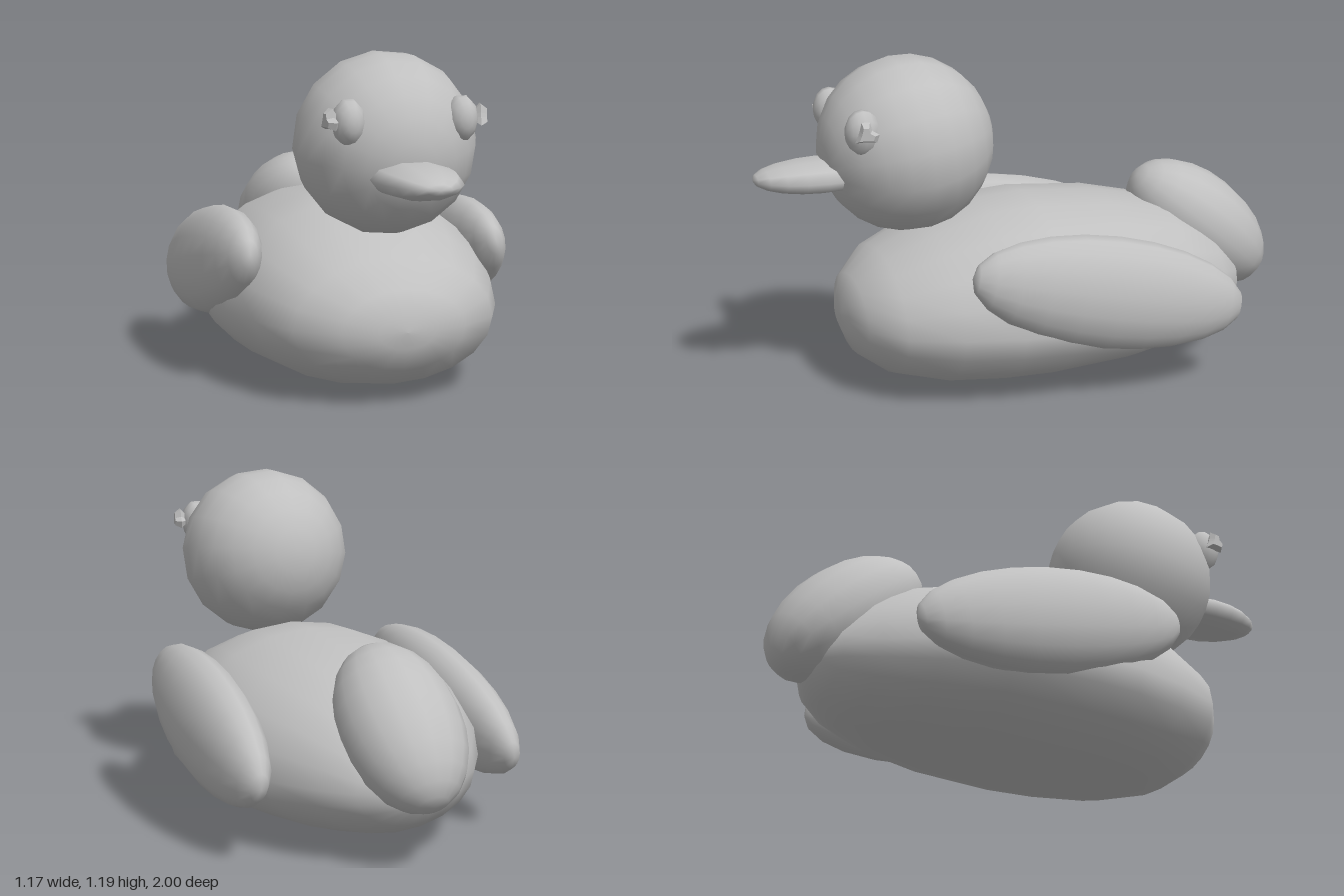
import * as THREE from 'three';

const grey = new THREE.MeshStandardMaterial({ color: 0xc0c0c0 });
grey.name = 'plain grey';

function addMesh(parent, name, geometry) {
  const mesh = new THREE.Mesh(geometry, grey);
  mesh.name = name;
  parent.add(mesh);
  return mesh;
}

// Smooth ellipsoid with its poles along z, scaled to half sizes and tipped about x and z
function ellipsoid([rx, ry, rz], [x, y, z], tipX = 0, tipZ = 0, cols = 16, rows = 12) {
  return new THREE.SphereGeometry(1, cols, rows)
    .rotateX(Math.PI / 2)
    .scale(rx, ry, rz)
    .rotateX(tipX)
    .rotateZ(tipZ)
    .translate(x, y, z);
}

// Body lofted from egg-shaped sections: [z, half width, bottom, widest height, top]
function bodyGeometry() {
  const sections = [
    [0.70, 0, 0.27, 0.27, 0.27],
    [0.695, 0.1, 0.21, 0.27, 0.33],
    [0.66, 0.22, 0.13, 0.27, 0.41],
    [0.56, 0.36, 0.06, 0.27, 0.5],
    [0.38, 0.445, 0.015, 0.27, 0.585],
    [0.18, 0.5, 0.005, 0.27, 0.65],
    [0, 0.52, 0.005, 0.27, 0.66],
    [-0.3, 0.5, 0.022, 0.27, 0.635],
    [-0.53, 0.41, 0.045, 0.27, 0.585],
    [-0.7, 0.3, 0.085, 0.27, 0.5],
    [-0.8, 0.2, 0.14, 0.27, 0.4],
    [-0.85, 0.1, 0.2, 0.27, 0.33],
    [-0.87, 0, 0.27, 0.27, 0.27],
  ];
  const n = 20, positions = [], index = [];
  sections.forEach(([z, w, bottom, mid, top], i) => {
    for (let j = 0; j < n; j++) {
      const a = (j / n) * Math.PI * 2, s = Math.sin(a);
      positions.push(w * Math.cos(a), mid + s * (s > 0 ? top - mid : mid - bottom), z);
      if (i === sections.length - 1) continue;
      const p = i * n + j, q = i * n + (j + 1) % n;
      if (i > 0) index.push(p, p + n, q);
      if (i < sections.length - 2) index.push(q, p + n, q + n);
      if (i === 0) index.push(p, p + n, q + n);
    }
  });
  const geometry = new THREE.BufferGeometry();
  geometry.setAttribute('position', new THREE.Float32BufferAttribute(positions, 3));
  geometry.setIndex(index);
  geometry.computeVertexNormals();
  return geometry;
}

// Small jagged pupil: a waisted cylinder whose edges alternate in and out
function pupilGeometry() {
  const profile = [0.025, 0.04, 0.018, 0.03];
  const geometry = new THREE.CylinderGeometry(1, 1, 0.065, 10, 3);
  const pos = geometry.attributes.position;
  for (let i = 0; i < pos.count; i++) {
    const x = pos.getX(i), y = pos.getY(i), z = pos.getZ(i);
    const spike = Math.round((Math.atan2(z, x) / Math.PI) * 5) % 2 ? 0.65 : 1.15;
    const r = profile[Math.round((0.0325 - y) / 0.065 * 3)] * spike;
    pos.setXYZ(i, x * r, y, z * r);
  }
  const flat = geometry.toNonIndexed();
  flat.computeVertexNormals();
  return flat.rotateZ(-Math.PI / 2);
}

export function createModel() {
  const model = new THREE.Group();
  model.name = 'duck';

  addMesh(model, 'body', bodyGeometry());
  addMesh(model, 'tail', ellipsoid([0.215, 0.19, 0.33], [0, 0.46, -0.72], -0.7));
  addMesh(model, 'head', ellipsoid([0.315, 0.315, 0.315], [0, 0.88, 0.445], 0.15, 0.1));
  addMesh(model, 'beak', ellipsoid([0.145, 0.06, 0.24], [0, 0.795, 0.76], 0, 0, 10, 10));

  // Wings and eyes on both sides
  for (const [side, label] of [[1, 'left'], [-1, 'right']]) {
    addMesh(model, label + 'Wing',
      ellipsoid([0.122, 0.2, 0.525], [side * 0.466, 0.39, -0.152], -0.21, side * 0.12));
    addMesh(model, label + 'Eye',
      ellipsoid([0.056, 0.08, 0.062], [side * 0.197, 0.98, 0.66], 0, 0, 10, 8));
    const pupil = addMesh(model, label + 'Pupil', pupilGeometry());
    pupil.position.set(side * 0.25, 0.985, 0.665);
    pupil.rotation.y = side > 0 ? -0.2 : Math.PI + 0.2;
  }
  return model;
}
